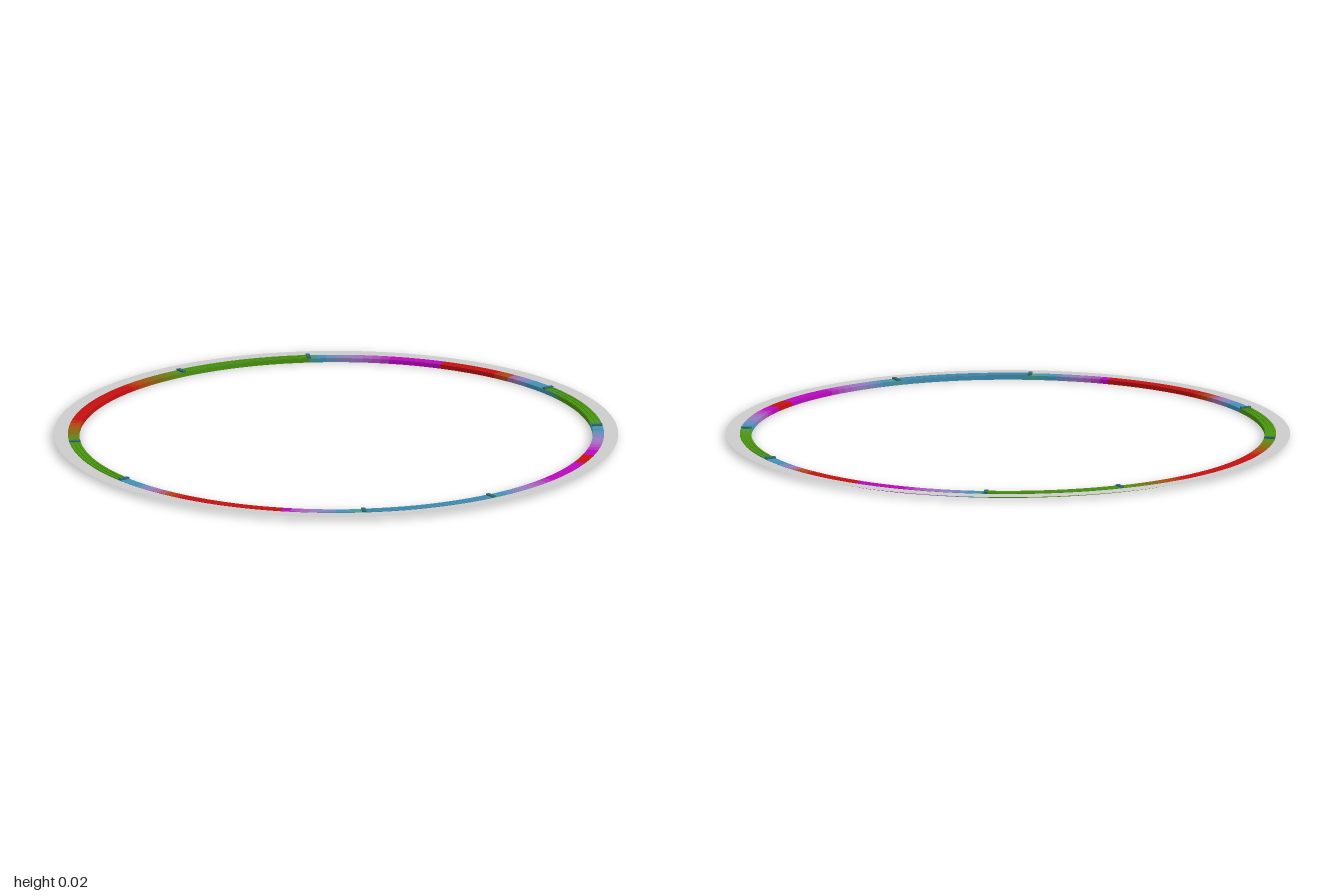
import * as THREE from 'three';
import { toCreasedNormals } from 'three/addons/utils/BufferGeometryUtils.js';

const DEG = Math.PI / 180;
const RED = 0xc41010, MAGENTA = 0xb808bc, BLUE = 0x4190b6, GREEN = 0x4a940f;
const LILAC = 0x9a78c0, TEAL = 0x4a9a90, OLIVE = 0x7a6c10, RUST = 0xb04a18;

// Colour stops round the ring: degrees from +x towards +z
const stops = [
  [0, MAGENTA], [12, MAGENTA], [20, LILAC], [27, BLUE], [30, TEAL], [33, BLUE],
  [56, BLUE], [61, TEAL], [65, BLUE], [71, LILAC], [77, MAGENTA], [79, RED],
  [102, RED], [106, RUST], [110, LILAC], [115, BLUE], [119, BLUE], [121, GREEN],
  [150, GREEN], [157, OLIVE], [166, RED], [194, RED], [203, OLIVE], [210, GREEN],
  [239, GREEN], [243, BLUE], [250, LILAC], [258, MAGENTA], [269, MAGENTA],
  [270.5, RED], [283, RED], [287, RUST], [290, LILAC], [295, BLUE], [302, BLUE],
  [306, GREEN], [326, GREEN], [329, TEAL], [333, BLUE], [341, LILAC],
  [348, MAGENTA], [352, MAGENTA], [353, RED], [357, RED], [358, MAGENTA], [360, MAGENTA],
];

function colorAt(angle) {
  const i = stops.findIndex((s) => s[0] > angle);
  const [a, ca] = stops[i - 1], [b, cb] = stops[i];
  return new THREE.Color(ca).lerp(new THREE.Color(cb), (angle - a) / (b - a));
}

// Rectangular bar swept along an arc
function arcBar(r0, r1, y0, y1, from, to, steps) {
  const profile = [[r0, y0], [r1, y0], [r1, y1], [r0, y1], [r0, y0]]
    .map(([r, y]) => new THREE.Vector2(r, y));
  const geo = new THREE.LatheGeometry(profile, steps, (90 - to) * DEG, (to - from) * DEG);
  return toCreasedNormals(geo, 30 * DEG);
}

function add(parent, name, geometry, color, side = THREE.DoubleSide) {
  const mesh = new THREE.Mesh(geometry, new THREE.MeshStandardMaterial({ color, side }));
  mesh.name = name;
  parent.add(mesh);
  return mesh;
}

export function createModel() {
  const model = new THREE.Group();
  model.name = 'colouredRing';

  // Flat, paper-thin outer rim
  const rim = new THREE.RingGeometry(0.948, 1, 144, 1);
  rim.rotateX(-Math.PI / 2);
  rim.translate(0, 0.014, 0);
  add(model, 'outerRim', rim, 0xcccccc);

  // Inner band, blended through the colour stops
  const band = new THREE.Group();
  band.name = 'innerBand';
  model.add(band);
  const step = 2;
  for (let a = 0; a < 360; a += step) {
    add(band, 'bandSegment', arcBar(0.91, 0.95, 0, 0.015, a, a + step, 2), colorAt(a + step / 2));
  }

  // Four diagonal sections with fine concentric rails, closed by small end clips
  for (let q = 0; q < 4; q++) {
    const mid = 45 + q * 90;
    const section = new THREE.Group();
    section.name = 'railSection';
    model.add(section);
    const color = colorAt(mid);
    for (const r of [0.912, 0.926, 0.94]) {
      add(section, 'rail', arcBar(r, r + 0.008, 0.014, 0.017, mid - 15, mid + 15, 20), color);
    }
    for (const side of [-1, 1]) {
      const angle = (mid + side * 15) * DEG;
      const clip = add(section, 'endClip', new THREE.BoxGeometry(0.038, 0.008, 0.014),
        new THREE.Color(0x2c6a70), THREE.FrontSide);
      clip.position.set(Math.cos(angle) * 0.93, 0.017, Math.sin(angle) * 0.93);
      clip.rotation.y = -angle;
    }
  }
  return model;
}
